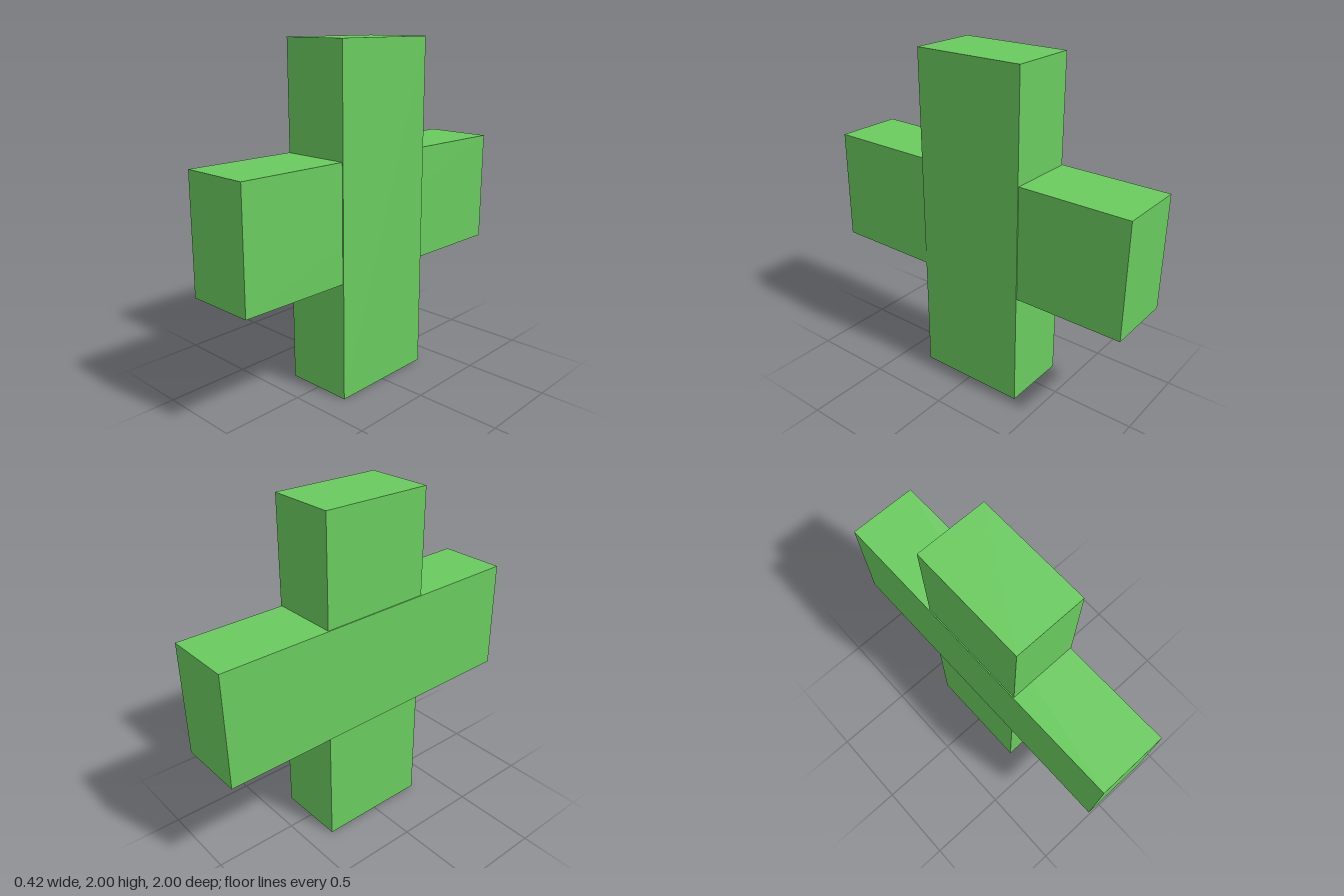
import * as THREE from 'three';

export function createModel() {
  const group = new THREE.Group();
  const material = new THREE.MeshStandardMaterial({ color: 0x6acb5f, flatShading: true });

  const addBar = (name, size, position, tilt = 0) => {
    const bar = new THREE.Mesh(new THREE.BoxGeometry(...size), material);
    bar.name = name;
    bar.position.set(...position);
    bar.rotation.x = tilt;
    group.add(bar);
  };

  // Upright bar, standing on the ground
  addBar('uprightBar', [0.414, 2, 0.675], [0.002, 1, -0.007]);
  // Crossing bar, a touch higher at the front
  addBar('crossBar', [0.414, 0.677, 1.992], [-0.004, 1.03, 0], -0.009);

  return group;
}
